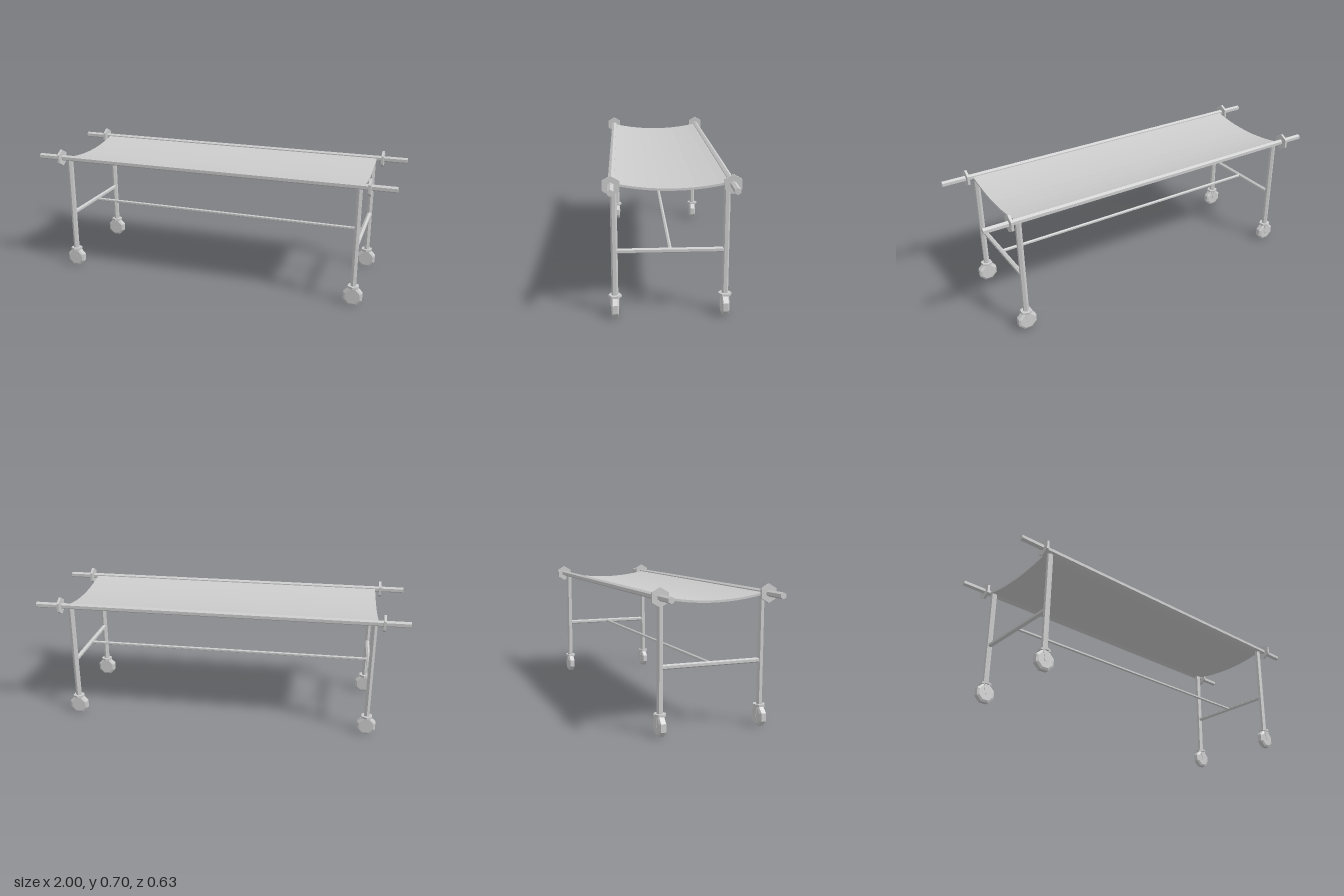
import * as THREE from 'three';

const mat = new THREE.MeshStandardMaterial({ color: 0xcccccc, flatShading: true, side: THREE.DoubleSide });

function add(parent, name, geometry, x = 0, y = 0, z = 0) {
  const mesh = new THREE.Mesh(geometry, mat);
  mesh.name = name;
  mesh.position.set(x, y, z);
  parent.add(mesh);
  return mesh;
}

// Six-sided bar along an axis; the horizontal ones have a corner pointing up
function hexBar(radius, length, axis) {
  const g = new THREE.CylinderGeometry(radius, radius, length, 6);
  if (axis === 'x') g.rotateY(Math.PI / 2).rotateZ(Math.PI / 2);
  if (axis === 'z') g.rotateX(Math.PI / 2);
  return g;
}

// Swivel plate, fork and chamfered wheel, with the origin on the floor
function makeCaster() {
  const caster = new THREE.Group();
  caster.name = 'caster';
  add(caster, 'swivelPlate', hexBar(0.032, 0.012, 'y'), 0, 0.104, 0);

  const profile = [[0.001, -0.0185], [0.042, -0.0185], [0.0535, -0.012],
    [0.0535, 0.012], [0.042, 0.0185], [0.001, 0.0185]].map(p => new THREE.Vector2(...p));
  const wheel = new THREE.LatheGeometry(profile, 8, Math.PI / 8).rotateX(Math.PI / 2);
  add(caster, 'wheel', wheel, 0, 0.051, 0);
  add(caster, 'axle', hexBar(0.007, 0.042, 'z'), 0, 0.051, 0);

  const arm = new THREE.Shape();
  arm.moveTo(-0.018, 0.1);
  arm.lineTo(-0.009, 0.06);
  arm.lineTo(-0.006, 0.044);
  arm.lineTo(0.006, 0.044);
  arm.lineTo(0.009, 0.06);
  arm.lineTo(0.018, 0.1);
  const armGeometry = new THREE.ExtrudeGeometry(arm, { depth: 0.003, bevelEnabled: false });
  for (const s of [-1, 1]) add(caster, 'forkArm', armGeometry, 0, 0, s * 0.0195 - 0.0015);
  return caster;
}

// Sagging sheet: a thin curved strip swept along x
function canvasGeometry(length) {
  const steps = 10, half = 0.277, thickness = 0.011;
  const sag = z => 0.619 + 0.41 * z * z;
  const points = [];
  for (let i = 0; i <= steps; i++) {
    const z = -half + (2 * half * i) / steps;
    points.push(new THREE.Vector2(z, sag(z)));
  }
  for (let i = steps; i >= 0; i--) {
    points.push(new THREE.Vector2(points[i].x, points[i].y + thickness));
  }
  const g = new THREE.ExtrudeGeometry(new THREE.Shape(points), { depth: length, bevelEnabled: false });
  return g.translate(0, 0, -length / 2).rotateY(Math.PI / 2);
}

export function createModel() {
  const model = new THREE.Group();
  model.name = 'wheeledStretcher';
  const legX = [-0.819, 0.814], legZ = [-0.258, 0.267];
  const midZ = (legZ[0] + legZ[1]) / 2, railY = 0.328;

  // Carrying poles with hexagonal stop collars
  for (const s of [-1, 1]) {
    add(model, 'carryPole', hexBar(0.016, 2, 'x'), 0, 0.656, s * 0.277);
    for (const x of [-0.866, 0.865]) add(model, 'poleCollar', hexBar(0.046, 0.013, 'x'), x, 0.656, s * 0.277);
  }

  add(model, 'canvas', canvasGeometry(1.67), -0.004, 0, 0);

  // Legs, casters and end rails
  for (const x of legX) {
    for (const z of legZ) {
      add(model, 'leg', hexBar(0.016, 0.545, 'y'), x, 0.3775, z);
      const caster = makeCaster();
      caster.position.set(x, 0, z);
      model.add(caster);
    }
    add(model, 'endRail', hexBar(0.0125, legZ[1] - legZ[0] - 0.02, 'z'), x, railY, midZ);
  }

  // Long brace between the end rails
  add(model, 'longBrace', hexBar(0.009, legX[1] - legX[0], 'x'), (legX[0] + legX[1]) / 2, railY, midZ);
  return model;
}
